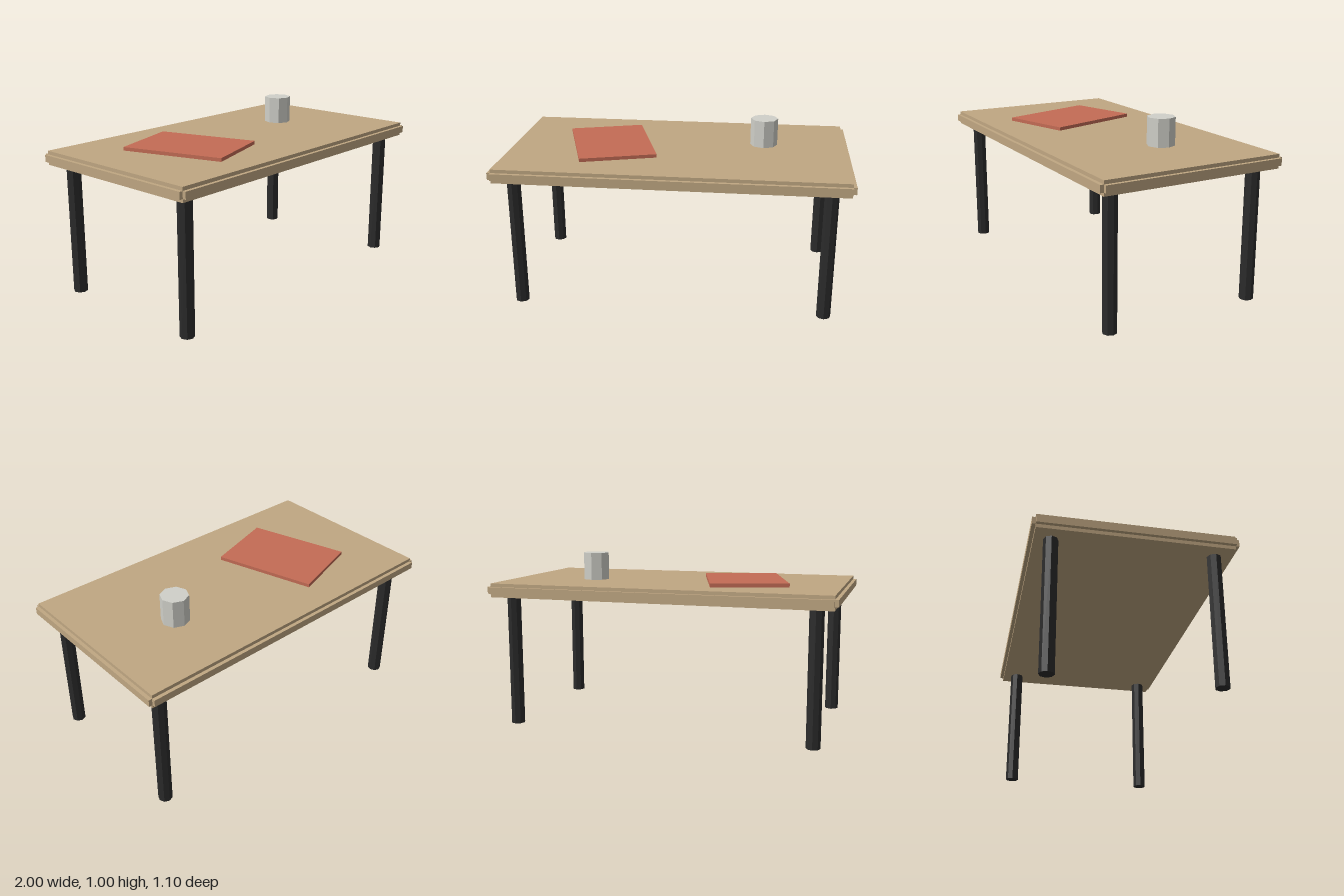
import * as THREE from 'three';

const mat = (name, color) => {
  const m = new THREE.MeshStandardMaterial({ color, flatShading: true });
  m.name = name;
  return m;
};

export function createModel() {
  const model = new THREE.Group();
  model.name = 'table';
  const wood = mat('wood', 0xc0a782);
  const black = mat('blackMetal', 0x2b2b2b);
  const red = mat('redCover', 0xc46c55);
  const grey = mat('greyCup', 0xd0d0c9);

  const add = (name, geometry, material, x, y, z, parent = model) => {
    const mesh = new THREE.Mesh(geometry, material);
    mesh.name = name;
    mesh.position.set(x, y, z);
    parent.add(mesh);
    return mesh;
  };

  // Tabletop: a thick slab with stepped rims and notched corners
  const top = new THREE.Group();
  top.name = 'tabletop';
  model.add(top);
  add('slab', new THREE.BoxGeometry(1.96, 0.08, 1.06), wood, 0, 0.8, 0, top);
  add('sideRim', new THREE.BoxGeometry(2, 0.04, 1.06), wood, 0, 0.8, 0, top);
  add('frontBackRim', new THREE.BoxGeometry(1.96, 0.04, 1.1), wood, 0, 0.8, 0, top);

  // Four eight-sided legs
  const legGeometry = new THREE.CylinderGeometry(0.04, 0.04, 0.76, 8);
  for (const [side, x] of [['left', 0.88], ['right', -0.88]])
    for (const [end, z] of [['Front', 0.44], ['Back', -0.44]])
      add(`${side}${end}Leg`, legGeometry, black, x, 0.38, z);

  // Thin book lying at an angle
  add('book', new THREE.BoxGeometry(0.44, 0.02, 0.6), red, -0.4, 0.85, 0).rotation.y = 0.3;

  // Eight-sided cup
  add('cup', new THREE.CylinderGeometry(0.08, 0.08, 0.16, 8), grey, 0.5, 0.92, -0.1);

  return model;
}
